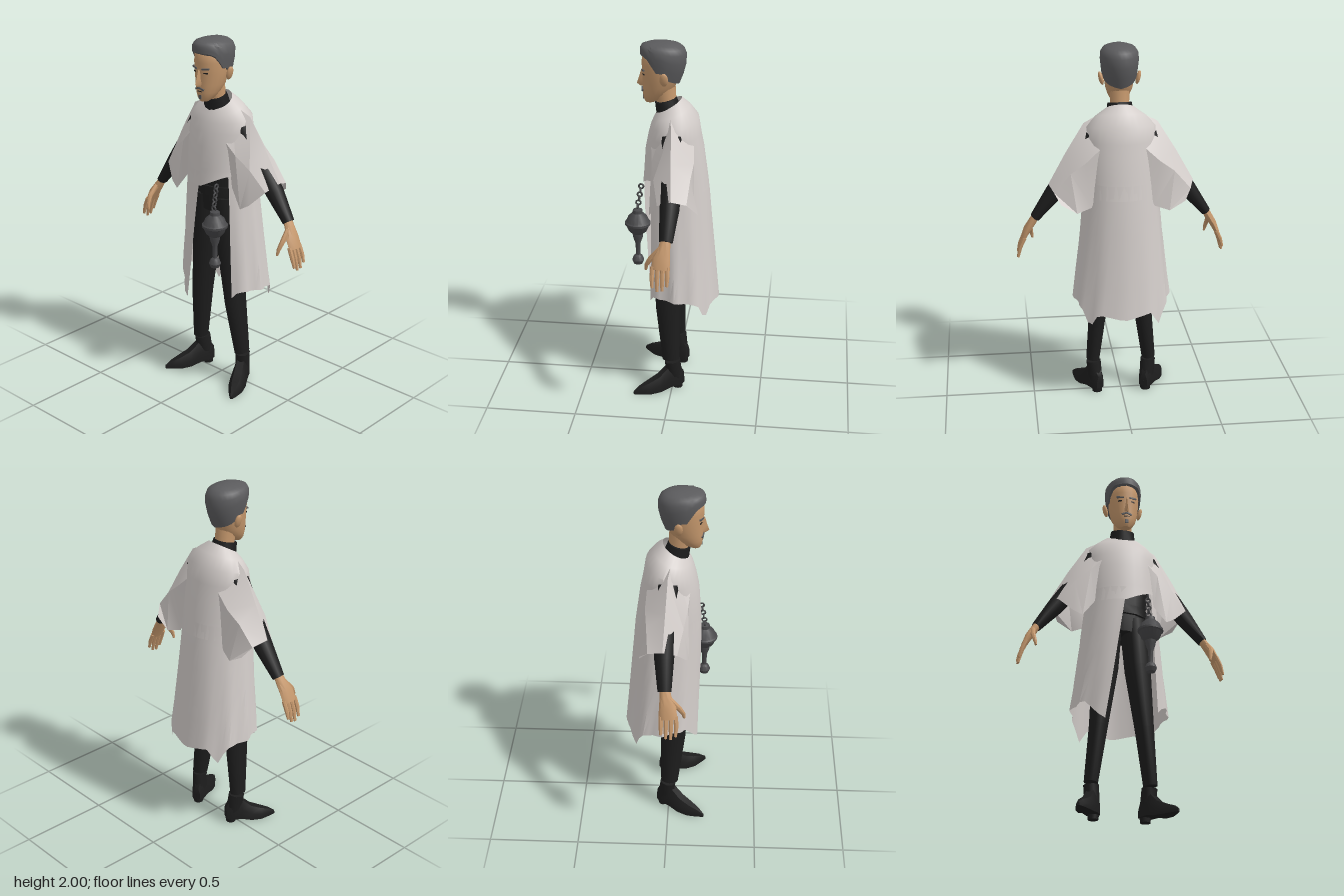
import * as THREE from 'three';
import { toCreasedNormals } from 'three/addons/utils/BufferGeometryUtils.js';

const mat = (name, color, extra = {}) => Object.assign(new THREE.MeshStandardMaterial({ color, ...extra }), { name });
const V = (x, y, z) => new THREE.Vector3(x, y, z);

// Linear lookup in rows of [key, a, b, ...] sorted by key
function lookup(rows, k) {
  let i = 0;
  while (i < rows.length - 2 && k > rows[i + 1][0]) i++;
  const a = rows[i], b = rows[i + 1];
  const t = THREE.MathUtils.clamp((k - a[0]) / (b[0] - a[0]), 0, 1);
  return a.slice(1).map((v, j) => v + (b[j + 1] - v) * t);
}

// Point on an oval section; rows are [y, half width, front z, back z], angle 0 is the front
function ovalPoint(rows, th, y, k = 1) {
  const [w, f, b] = lookup(rows, y);
  return V(w * Math.sin(th) * k, y, (f + b) / 2 + (f - b) / 2 * Math.cos(th) * k);
}

// Skin over a list of sections; closed ones get end caps and outward faces
function loft(sections, closed = true, crease = 0.8) {
  const n = sections[0].length, m = sections.length, pts = sections.flat(), idx = [];
  for (let r = 0; r < m - 1; r++) {
    for (let c = 0; c < (closed ? n : n - 1); c++) {
      const a = r * n + c, b = r * n + (c + 1) % n;
      idx.push(a, b, a + n, b, b + n, a + n);
    }
  }
  if (closed) {
    for (const r of [0, m - 1]) {
      const mid = V(0, 0, 0);
      sections[r].forEach(p => mid.addScaledVector(p, 1 / n));
      pts.push(mid);
      for (let c = 0; c < n; c++) {
        const a = r * n + c, b = r * n + (c + 1) % n;
        idx.push(pts.length - 1, r ? a : b, r ? b : a);
      }
    }
    let vol = 0;
    for (let i = 0; i < idx.length; i += 3)
      vol += pts[idx[i]].dot(pts[idx[i + 1]].clone().cross(pts[idx[i + 2]]));
    if (vol < 0) idx.reverse();
  }
  const g = new THREE.BufferGeometry().setFromPoints(pts);
  g.setIndex(idx);
  return toCreasedNormals(g, crease);
}

// Limb along nodes of [x, y, z, side radius, depth radius]
function limb(nodes, sides = 10) {
  const p = nodes.map(n => V(n[0], n[1], n[2]));
  return loft(nodes.map((n, i) => {
    const t = p[Math.min(i + 1, p.length - 1)].clone().sub(p[Math.max(i - 1, 0)]).normalize();
    const u = V(0, 0, 1).addScaledVector(t, -t.z).normalize();
    const w = t.clone().cross(u);
    return Array.from({ length: sides }, (_, c) => {
      const a = c / sides * Math.PI * 2;
      return p[i].clone().addScaledVector(w, n[3] * Math.sin(a)).addScaledVector(u, n[4] * Math.cos(a));
    });
  }));
}

const arc = (n, f) => Array.from({ length: n }, (_, i) => f(i / n * Math.PI * 2));

export function createModel() {
  const root = new THREE.Group();
  root.name = 'cloakedMan';
  const cloth = mat('paleCloth', 0xd3cdca, { side: THREE.DoubleSide });
  const black = mat('blackCloth', 0x1d1d1d);
  const skin = mat('skin', 0xc4976c);
  const hairMat = mat('greyHair', 0x5b5b5d);
  const metal = mat('darkMetal', 0x48484a);
  const add = (name, geo, m, parent = root) => {
    const mesh = new THREE.Mesh(geo, m);
    mesh.name = name;
    parent.add(mesh);
    return mesh;
  };
  const box = (name, m, w, h, d, x, y, z, rz = 0, ry = 0) => {
    const b = add(name, new THREE.BoxGeometry(w, h, d), m);
    b.position.set(x, y, z);
    b.rotation.set(0, ry, rz);
    return b;
  };

  // Poncho: closed yoke, then a skirt split open at the front
  const drape = [[0.5, 0.275, 0.18, -0.25], [0.9, 0.232, 0.178, -0.212], [1.2, 0.205, 0.175, -0.185],
    [1.42, 0.2, 0.16, -0.155], [1.57, 0.19, 0.13, -0.125], [1.62, 0.14, 0.115, -0.08], [1.655, 0.082, 0.1, -0.035]];
  const yoke = [1.655, 1.62, 1.57, 1.5, 1.42, 1.3, 1.2].map(y => {
    const ring = arc(28, a => {
      const p = ovalPoint(drape, a, y);
      p.y -= 0.04 * Math.cos(a) * THREE.MathUtils.clamp((y - 1.5) / 0.15, 0, 1);
      if (y === 1.2 && p.z > 0) p.y += 0.5 * THREE.MathUtils.clamp(p.x, 0, 0.15);
      return p;
    });
    return [...ring, ring[0].clone()];
  });
  add('ponchoYoke', loft(yoke, false), cloth);

  const hem = [[0, 0.48], [0.15, 0.5], [0.3, 0.61], [0.5, 0.6], [0.68, 0.58], [0.75, 0.47], [0.82, 0.56], [1, 0.53]];
  const skirt = [0, 0.15, 0.35, 0.55, 0.78, 1].map(v => Array.from({ length: 41 }, (_, i) => {
    const yc = 1.28 - 0.78 * v, w = lookup(drape, yc)[0];
    const a0 = Math.asin((0.15 + 0.04 * v) / w), a1 = Math.PI * 2 - Math.asin(0.115 * v / w);
    const a = a0 + (a1 - a0) * i / 40;
    const low = lookup(hem, Math.min(a, Math.PI * 2 - a) / Math.PI)[0];
    const pleat = 1 + 0.04 * v * Math.cos(a * 12) * Math.abs(Math.sin(a));
    return ovalPoint(drape, a, 1.28 + (low - 1.28) * v, pleat);
  }));
  add('ponchoSkirt', loft(skirt, false), cloth);

  // Head, hair and neck
  const skull = [[1.67, 0.024, 0.16, 0.11], [1.69, 0.044, 0.17, 0.07], [1.72, 0.06, 0.174, 0.035], [1.76, 0.073, 0.175, 0],
    [1.82, 0.083, 0.175, -0.02], [1.88, 0.087, 0.18, -0.035], [1.93, 0.085, 0.176, -0.04], [1.97, 0.06, 0.14, 0]];
  add('head', loft(skull.map(r => arc(20, a => ovalPoint(skull, a, r[0])))), skin);
  add('neck', limb([[0, 1.6, 0.03, 0.055, 0.055], [0, 1.69, 0.05, 0.052, 0.055], [0, 1.78, 0.06, 0.055, 0.06]], 12), skin);
  add('collar', limb([[0, 1.57, 0.025, 0.085, 0.075], [0, 1.63, 0.038, 0.074, 0.067], [0, 1.685, 0.052, 0.066, 0.06]], 14), black);
  const hairShape = [[1.76, 0.07, 0.17, -0.015], [1.82, 0.092, 0.178, -0.04], [1.88, 0.1, 0.184, -0.057],
    [1.93, 0.105, 0.187, -0.062], [1.965, 0.1, 0.187, -0.05], [1.983, 0.083, 0.178, -0.03], [1.995, 0.05, 0.14, 0], [2, 0.002, 0.07, 0.06]];
  const hairline = [[0, 1.935], [0.25, 1.93], [0.34, 1.9], [0.4, 1.85], [0.52, 1.85], [0.6, 1.81], [0.75, 1.79], [1, 1.775]];
  const hair = [0, 0.25, 0.5, 0.72, 0.85, 0.93, 0.98, 1].map(v => arc(28, a => {
    const low = lookup(hairline, Math.min(a, Math.PI * 2 - a) / Math.PI)[0];
    return ovalPoint(hairShape, a, low + (2 - low) * v);
  }));
  add('hair', loft(hair), hairMat);

  // Face
  const nose = [[1.845, 0.009, 0.182], [1.8, 0.011, 0.195], [1.768, 0.017, 0.206], [1.755, 0.015, 0.188]];
  add('nose', loft(nose.map(([y, w, z]) => [V(-w, y, 0.165), V(0, y, z), V(w, y, 0.165)])), skin);
  for (const s of [-1, 1]) {
    box('eyebrow', hairMat, 0.042, 0.009, 0.009, s * 0.036, 1.85, 0.167, s * 0.12, s * 0.35);
    box('eye', black, 0.026, 0.007, 0.008, s * 0.035, 1.828, 0.163, 0, s * 0.35);
    box('moustache', hairMat, 0.03, 0.009, 0.009, s * 0.014, 1.742, 0.174, -s * 0.35, s * 0.15);
    const ear = add('ear', new THREE.SphereGeometry(1, 10, 8), skin);
    ear.scale.set(0.013, 0.038, 0.023);
    ear.position.set(s * 0.1, 1.82, 0.05);
    ear.rotation.z = -s * 0.25;
  }
  box('mouth', black, 0.03, 0.004, 0.006, 0, 1.727, 0.172);
  box('goatee', hairMat, 0.018, 0.022, 0.009, 0, 1.696, 0.168);

  // Body under the poncho
  add('torso', limb([[0, 1.04, 0.01, 0.13, 0.1], [0, 1.2, 0.01, 0.14, 0.11], [0, 1.42, 0, 0.16, 0.1], [0, 1.58, 0.01, 0.1, 0.07]], 14), black);
  add('belt', limb([[0, 1.14, 0.01, 0.147, 0.122], [0, 1.19, 0.01, 0.147, 0.122]], 14), black);

  for (const s of [-1, 1]) {
    const side = new THREE.Group();
    side.name = s > 0 ? 'leftSide' : 'rightSide';
    root.add(side);
    const flip = rows => rows.map(([x, ...r]) => [s * x, ...r]);

    // Poncho sleeve: front edge, front, ridge, back, back edge
    const tent = [
      [[0.09, 1.35, 0.11], [0.09, 1.5, 0.12], [0.09, 1.645, 0.02], [0.09, 1.5, -0.11], [0.09, 1.35, -0.11]],
      [[0.17, 1.2, 0.1], [0.19, 1.4, 0.105], [0.2, 1.59, 0], [0.2, 1.4, -0.12], [0.17, 1.15, -0.12]],
      [[0.235, 1.11, 0.115], [0.275, 1.33, 0.085], [0.3, 1.43, -0.01], [0.28, 1.34, -0.11], [0.25, 1.13, -0.15]],
      [[0.285, 1.14, 0.1], [0.36, 1.22, 0.055], [0.395, 1.26, -0.02], [0.37, 1.235, -0.1], [0.335, 1.18, -0.145]]];
    add('ponchoSleeve', loft(tent.map(row => flip(row).map(p => V(...p))), false, 0.5), cloth, side);

    // Arm and hand
    add('arm', limb(flip([[0.15, 1.52, 0, 0.06, 0.06], [0.27, 1.34, -0.01, 0.055, 0.06], [0.37, 1.205, -0.012, 0.047, 0.052],
      [0.472, 1.068, -0.006, 0.027, 0.036]])), black, side);
    add('palm', limb(flip([[0.462, 1.085, -0.005, 0.02, 0.026], [0.485, 1.045, 0, 0.022, 0.031], [0.515, 0.995, 0.012, 0.02, 0.046],
      [0.54, 0.94, 0.015, 0.014, 0.048]])), skin, side);
    [0.055, 0.029, 0.003, -0.022].forEach((z, i) => {
      const len = [0.09, 0.11, 0.105, 0.08][i];
      add('finger', limb(flip([[0.532, 0.955, z, 0.012, 0.013], [0.555, 0.945 - len * 0.5, z * 1.05, 0.011, 0.012],
        [0.568, 0.94 - len, z, 0.007, 0.008]]), 7), skin, side);
    });
    add('thumb', limb(flip([[0.492, 1.035, 0.02, 0.015, 0.018], [0.497, 0.985, 0.07, 0.014, 0.015],
      [0.49, 0.945, 0.093, 0.011, 0.011], [0.484, 0.912, 0.098, 0.006, 0.007]]), 7), skin, side);

    // Trouser leg and boot
    add('leg', limb(flip([[0.072, 1.12, 0.015, 0.078, 0.1], [0.09, 0.85, 0.025, 0.073, 0.088], [0.126, 0.5, 0.025, 0.051, 0.07],
      [0.16, 0.19, 0.006, 0.038, 0.048]]), 12), black, side);
    const boot = new THREE.Group();
    boot.name = 'boot';
    boot.position.set(s * 0.152, 0, -0.005);
    boot.rotation.y = s * 0.47;
    side.add(boot);
    add('bootShaft', limb([[0, 0.07, -0.01, 0.039, 0.046], [0.003 * s, 0.18, 0.005, 0.041, 0.046]]), black, boot);
    const foot = [[-0.06, 0.022, 0.03, 0.1], [-0.035, 0.036, 0.025, 0.14], [0.03, 0.04, 0.022, 0.145], [0.09, 0.045, 0.006, 0.09],
      [0.15, 0.04, 0, 0.062], [0.2, 0.022, 0, 0.042], [0.237, 0.006, 0, 0.018]];
    add('foot', loft(foot.map(([z, w, lo, hi]) =>
      [V(-w, lo, z), V(w, lo, z), V(w, (lo + hi) / 2, z), V(w * 0.5, hi, z), V(-w * 0.5, hi, z), V(-w, (lo + hi) / 2, z)])), black, boot);
    const heel = add('heel', new THREE.CylinderGeometry(0.034, 0.028, 0.06, 10), black, boot);
    heel.position.set(0, 0.03, -0.028);
  }

  // Hanging censer with chain, stem and end ball
  const censer = new THREE.Group();
  censer.name = 'censer';
  censer.position.set(0.125, 0, 0.192);
  root.add(censer);
  const profile = [[0, 0.758], [0.024, 0.768], [0.033, 0.79], [0.024, 0.813], [0.012, 0.822], [0.014, 0.89], [0.026, 0.925],
    [0.03, 0.95], [0.05, 0.968], [0.063, 1], [0.07, 1.005], [0.07, 1.017], [0.063, 1.022], [0.052, 1.05], [0.028, 1.072], [0.026, 1.09], [0, 1.1]];
  add('censerBody', toCreasedNormals(new THREE.LatheGeometry(profile.map(p => new THREE.Vector2(...p)), 18), 0.6), metal, censer);
  for (let i = 0; i < 6; i++) {
    const link = add('chainLink', new THREE.TorusGeometry(0.013, 0.005, 6, 10), metal, censer);
    link.position.set(-0.008, 1.105 + i * 0.024, -0.004 * i);
    link.rotation.y = i % 2 * Math.PI / 2;
  }
  return root;
}
